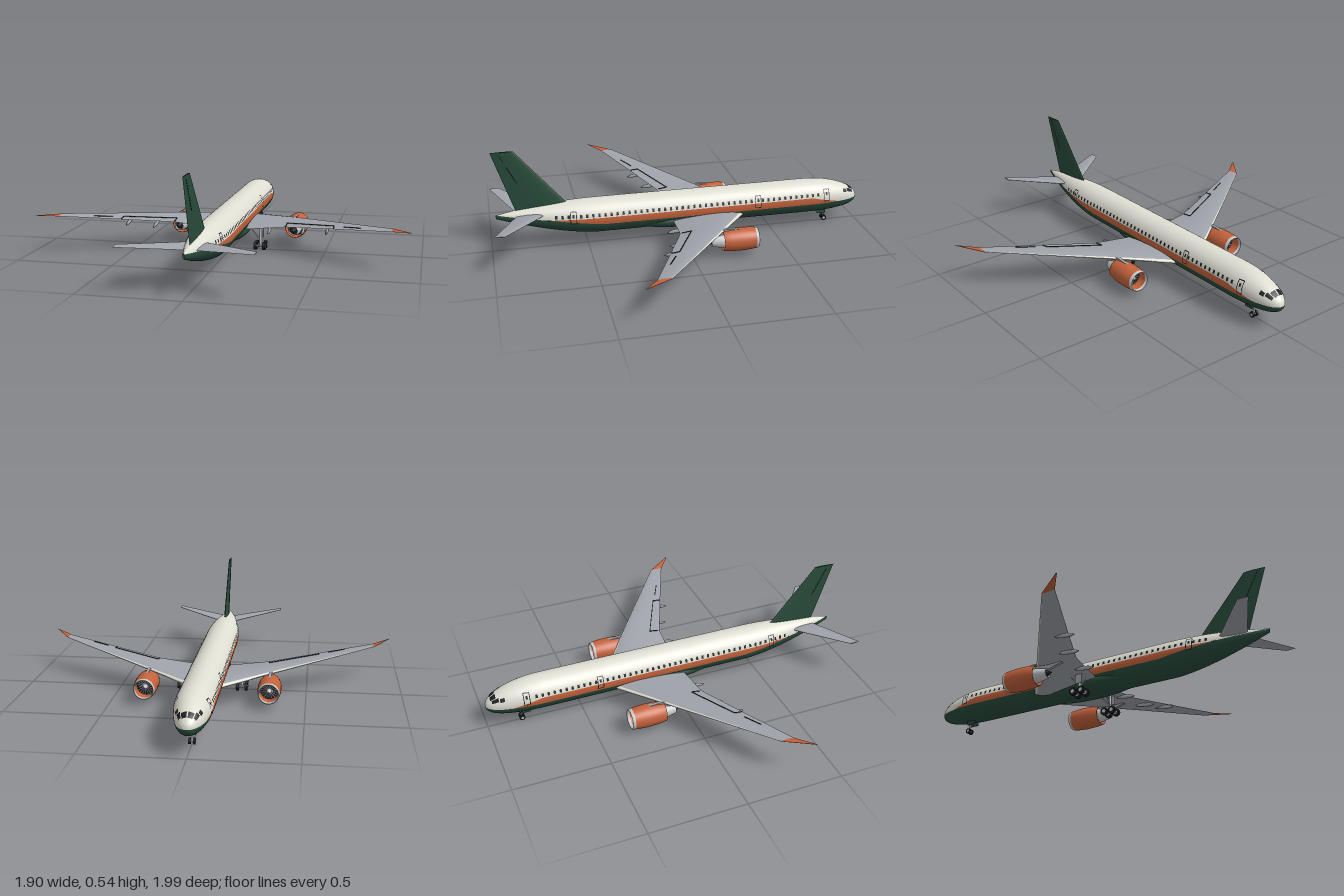
import * as THREE from 'three';
import { mergeGeometries } from 'three/addons/utils/BufferGeometryUtils.js';

const mat = (name, color, side = THREE.FrontSide) => {
  const m = new THREE.MeshStandardMaterial({ color, side });
  m.name = name;
  return m;
};
const clamp = (v) => Math.min(1, Math.max(0, v));

// Surface from a rule fn(i, j) -> [x, y, z]
function grid(nu, nv, fn) {
  const pos = [], idx = [];
  for (let i = 0; i <= nu; i++) for (let j = 0; j <= nv; j++) pos.push(...fn(i, j));
  for (let i = 0; i < nu; i++) for (let j = 0; j < nv; j++) {
    const a = i * (nv + 1) + j, b = a + nv + 1;
    idx.push(a, b, b + 1, a, b + 1, a + 1);
  }
  const g = new THREE.BufferGeometry();
  g.setAttribute('position', new THREE.Float32BufferAttribute(pos, 3));
  g.setIndex(idx);
  g.computeVertexNormals();
  return g;
}

// Copy reflected to the other side, with the corner order reversed
function mirror(geo) {
  const g = geo.index ? geo.toNonIndexed() : geo.clone();
  for (const key of ['position', 'normal']) {
    const a = g.attributes[key], s = a.itemSize, arr = a.array;
    for (let t = 0; t < arr.length; t += 9) {
      for (let k = 0; k < s; k++) [arr[t + 3 + k], arr[t + 6 + k]] = [arr[t + 6 + k], arr[t + 3 + k]];
      for (let k = 0; k < 9; k += 3) arr[t + k] *= -1;
    }
  }
  return g;
}

// Fuselage cross-section at z: centre height, half width, half height
function section(z) {
  const n = clamp((z + 1) / 0.3), s = clamp((z - 0.45) / 0.52);
  const nose = Math.pow(1 - (1 - n) ** 2, 0.45);
  const top = 0.25 - 0.05 * s * s, bottom = 0.065 + 0.115 * Math.pow(s, 1.5);
  return {
    cy: (top + bottom) / 2 - 0.022 * (1 - n) ** 2,
    rx: nose * (0.004 + 0.088 * (1 - Math.pow(s, 1.7))),
    ry: nose * (top - bottom) / 2,
  };
}
const angleAt = (z, y) => {
  const { cy, ry } = section(z);
  return Math.acos(Math.max(-1, Math.min(1, (y - cy) / Math.max(ry, 1e-4))));
};
// Piece of fuselage skin between z0..z1 and two angle rules measured from the top
function skin(z0, z1, nz, na, from, to, off = 0) {
  return grid(nz, na, (i, j) => {
    let t = i / nz;
    if (z0 === -1) t = t * t;
    const z = z0 + (z1 - z0) * t, { cy, rx, ry } = section(z);
    const p = from(z) + (to(z) - from(z)) * j / na;
    return [(rx + off) * Math.sin(p), cy + (ry + off) * Math.cos(p), z];
  });
}
const sidePatch = (z0, z1, yTop, yBottom) =>
  skin(z0, z1, 1, 3, (z) => angleAt(z, yTop), (z) => angleAt(z, yBottom), 0.002);

// Stripe edges along the fuselage
const stripeTop = (z) => 0.172 - 0.037 * clamp((-0.72 - z) / 0.16) + 0.028 * clamp((z - 0.7) / 0.27);
const stripeBottom = (z) => (z > 0.7 ? stripeTop(z) : 0.135 + 0.037 * clamp((z - 0.42) / 0.28));

// Aerofoil loft: stations [span, height, zLead, zTrail, thickness]
function foil(stations, a0, a1, place = (s, y, h, z) => [s, y + h, z], n = 12) {
  return grid(stations.length - 1, n, (i, j) => {
    const [s, y, zl, zt, t] = stations[i], a = a0 + (a1 - a0) * j / n;
    const h = 1.3 * t * Math.abs(Math.cos(a / 2)) * Math.sin(a / 2) ** 2 * Math.sign(Math.sin(a));
    return place(s, y, h, zl + (zt - zl) * (1 + Math.cos(a)) / 2);
  });
}
const wing = [
  [0.05, 0.112, -0.35, 0.055, 0.045], [0.3, 0.14, -0.172, 0.068, 0.03],
  [0.56, 0.165, 0.015, 0.175, 0.018], [0.857, 0.193, 0.23, 0.3, 0.008],
];
const wingTip = [wing[3], [0.952, 0.206, 0.365, 0.372, 0.003], [0.952, 0.206, 0.365, 0.372, 0]];
function wingTop(x, z) {
  const k = x < 0.3 ? 0 : x < 0.56 ? 1 : 2, A = wing[k], B = wing[k + 1];
  const f = (x - A[0]) / (B[0] - A[0]), v = A.map((q, i) => q + (B[i] - q) * f);
  const c = clamp((z - v[2]) / (v[3] - v[2]));
  return new THREE.Vector3(x, v[1] + 1.3 * v[4] * Math.sqrt(c) * (1 - c) + 0.0015, z);
}

// Round or square bar between two points
function bar(p, q, r, flat = false) {
  const a = new THREE.Vector3(...p), b = new THREE.Vector3(...q), len = a.distanceTo(b);
  const g = flat ? new THREE.BoxGeometry(r * 2, 0.003, len) : new THREE.CylinderGeometry(r, r, len, 12).rotateX(Math.PI / 2);
  const m = new THREE.Matrix4().lookAt(b, a, new THREE.Vector3(0, 1, 0.001));
  return g.applyMatrix4(m.setPosition(a.add(b).multiplyScalar(0.5)));
}
const lathe = (pts, x, y) =>
  new THREE.LatheGeometry(pts.map((p) => new THREE.Vector2(...p)), 32).rotateX(Math.PI / 2).translate(x, y, 0);
const wheel = (r, w, x, y, z) => new THREE.CylinderGeometry(r, r, w, 20).rotateZ(Math.PI / 2).translate(x, y, z);

export function createModel() {
  const model = new THREE.Group();
  model.name = 'airliner';
  const cream = mat('cream paint', 0xdfded3, THREE.DoubleSide), green = mat('dark green paint', 0x284b3b, THREE.DoubleSide);
  const orange = mat('orange paint', 0xc4623c, THREE.DoubleSide), grey = mat('wing grey', 0xa0a4ab, THREE.DoubleSide);
  const metal = mat('bright metal', 0xc6c8c9), dark = mat('dark trim', 0x1c1f22, THREE.DoubleSide);
  const add = (name, geo, material) => {
    const mesh = new THREE.Mesh(geo, material);
    mesh.name = name;
    model.add(mesh);
  };
  const pair = (name, geos, material) => {
    const g = mergeGeometries([].concat(geos).map((q) => (q.index ? q.toNonIndexed() : q)));
    add(name + 'Left', g, material);
    add(name + 'Right', mirror(g), material);
  };

  // Fuselage in three paint bands
  const a1 = (z) => angleAt(z, stripeTop(z)), a2 = (z) => angleAt(z, stripeBottom(z));
  add('upperFuselage', skin(-1, 0.97, 80, 32, (z) => -a1(z), a1), cream);
  add('lowerFuselage', skin(-1, 0.97, 80, 32, a2, (z) => 2 * Math.PI - a2(z)), green);
  pair('sideStripe', skin(-0.88, 0.7, 70, 6, a1, a2), orange);
  add('bellyFairing', new THREE.SphereGeometry(1, 32, 20).scale(0.095, 0.05, 0.31).translate(0, 0.105, -0.03), green);

  // Cabin windows, door outlines and windscreen
  const doors = [-0.8, -0.41, 0.58], windows = [], frames = [];
  for (let z = -0.75; z < 0.68; z += 0.0315)
    if (doors.every((d) => Math.abs(d - z) > 0.024)) windows.push(sidePatch(z - 0.006, z + 0.006, 0.196, 0.179));
  for (const d of doors) {
    const [t, b, w] = [0.212, 0.147, 0.017];
    frames.push(sidePatch(d - w, d - w + 0.004, t, b), sidePatch(d + w - 0.004, d + w, t, b),
      sidePatch(d - w, d + w, t, t - 0.004), sidePatch(d - w, d + w, b + 0.004, b), sidePatch(d - 0.005, d + 0.005, 0.197, 0.181));
  }
  pair('cabinWindows', windows, dark);
  pair('doorOutlines', frames, dark);
  const panes = [[-0.974, -0.946, 0.06, 0.56], [-0.968, -0.934, 0.64, 0.98], [-0.929, -0.906, 0.78, 1.08]];
  pair('windscreen', panes.map(([z0, z1, p, q]) => skin(z0, z1, 4, 5, () => p, () => q, 0.002)), dark);

  // Wings with pale leading edges and painted tips
  const E = Math.PI - 0.4;
  pair('wing', [foil(wing, 0, E), foil(wing, -E, 0)], grey);
  pair('wingLeadingEdge', foil(wing, E, 2 * Math.PI - E), cream);
  pair('wingTip', [foil(wingTip, 0, Math.PI), foil(wingTip, -Math.PI, 0)], orange);
  const seams = [[0.3, 0.01, 0.43, 0.07], [0.43, 0.07, 0.56, 0.13], [0.3, 0.01, 0.3, 0.06], [0.56, 0.13, 0.56, 0.17], [0.61, 0.16, 0.7, 0.205]];
  pair('flapSeams', seams.map(([x, z, X, Z]) => bar(wingTop(x, z).toArray(), wingTop(X, Z).toArray(), 0.002, true)), dark);
  pair('flapFairings', [[0.215, 0.06, 0.118], [0.395, 0.085, 0.128], [0.525, 0.14, 0.148]].map(([x, z, y]) =>
    new THREE.SphereGeometry(1, 12, 10).scale(0.007, 0.011, 0.058).rotateX(0.12).translate(x, y, z)), grey);

  // Tail surfaces
  const stab = [[0, 0.192, 0.69, 0.855, 0.02], [0.315, 0.221, 0.935, 0.99, 0.007], [0.315, 0.221, 0.935, 0.99, 0]];
  pair('tailplane', [foil(stab, 0, Math.PI), foil(stab, -Math.PI, 0)], grey);
  const fin = [[0.2, 0, 0.571, 0.863, 0.022], [0.54, 0, 0.86, 0.975, 0.012], [0.54, 0, 0.86, 0.975, 0]];
  const upright = (s, y, h, z) => [-h, s, z];
  add('tailFin', mergeGeometries([foil(fin, 0, Math.PI, upright), foil(fin, -Math.PI, 0, upright)]), green);
  pair('rudderSeam', bar([0.004, 0.53, 0.935], [0.0065, 0.37, 0.853], 0.001), dark);

  // Engines
  const ex = 0.317, ey = 0.086;
  pair('engineCowl', lathe([[0.055, -0.32], [0.058, -0.29], [0.06, -0.25], [0.058, -0.19], [0.052, -0.15],
    [0.049, -0.15], [0.046, -0.2], [0.045, -0.27], [0.046, -0.32]], ex, ey), orange);
  pair('engineLip', lathe([[0.046, -0.32], [0.048, -0.333], [0.05, -0.336], [0.053, -0.332], [0.055, -0.32]], ex, ey), metal);
  pair('engineDucts', [-0.27, -0.2].map((z) => new THREE.CircleGeometry(0.046, 32).translate(ex, ey, z)), dark);
  const blades = [];
  for (let i = 0; i < 18; i++)
    blades.push(new THREE.BoxGeometry(0.004, 0.034, 0.003).rotateY(0.5).translate(0, 0.027, -0.275).rotateZ(i * Math.PI / 9).translate(ex, ey, 0));
  pair('fanBlades', blades, grey);
  pair('fanSpinner', lathe([[0, -0.305], [0.008, -0.295], [0.014, -0.272]], ex, ey), metal);
  pair('engineCore', lathe([[0.037, -0.2], [0.037, -0.15], [0.025, -0.09], [0.021, -0.09], [0.021, -0.11]], ex, ey), metal);
  pair('exhaustPlug', lathe([[0.022, -0.11], [0.014, -0.09], [0, -0.062]], ex, ey), dark);
  const pylon = new THREE.Shape([[-0.27, 0.142], [-0.2, 0.118], [-0.1, 0.1], [0, 0.125], [-0.05, 0.147], [-0.17, 0.15]].map((p) => new THREE.Vector2(...p)));
  pair('enginePylon', new THREE.ExtrudeGeometry(pylon, { depth: 0.016, bevelEnabled: false }).rotateY(-Math.PI / 2).translate(ex + 0.008, 0, 0), grey);

  // Main landing gear: four-wheel bogies
  const gx = 0.157, tyres = [], hubs = [], legs = [];
  for (const z of [0.022, -0.024]) {
    for (const s of [-1, 1]) {
      tyres.push(wheel(0.021, 0.015, gx + s * 0.023, 0.021, z));
      hubs.push(wheel(0.01, 0.018, gx + s * 0.023, 0.021, z));
    }
    legs.push(bar([gx - 0.025, 0.021, z], [gx + 0.025, 0.021, z], 0.004));
  }
  legs.push(bar([gx, 0.021, -0.026], [gx, 0.021, 0.024], 0.005), bar([gx, 0.02, 0], [gx, 0.12, 0], 0.007),
    bar([gx, 0.05, 0], [gx - 0.05, 0.11, 0], 0.003), bar([gx, 0.05, 0], [gx, 0.115, -0.05], 0.003));
  pair('mainTyres', tyres, dark);
  pair('mainHubs', hubs, metal);
  pair('mainGearLegs', legs, metal);
  pair('mainGearDoor', new THREE.BoxGeometry(0.003, 0.05, 0.04).translate(gx + 0.014, 0.09, 0), grey);

  // Nose landing gear
  pair('noseTyre', wheel(0.015, 0.01, 0.011, 0.015, -0.82), dark);
  pair('noseHub', wheel(0.007, 0.012, 0.011, 0.015, -0.82), metal);
  add('noseGearLeg', mergeGeometries([bar([0, 0.015, -0.82], [0, 0.085, -0.82], 0.005),
    bar([-0.014, 0.015, -0.82], [0.014, 0.015, -0.82], 0.003), bar([0, 0.04, -0.82], [0, 0.08, -0.79], 0.003)]), metal);
  pair('noseGearDoor', new THREE.BoxGeometry(0.003, 0.026, 0.05).translate(0.017, 0.06, -0.8), green);
  return model;
}
